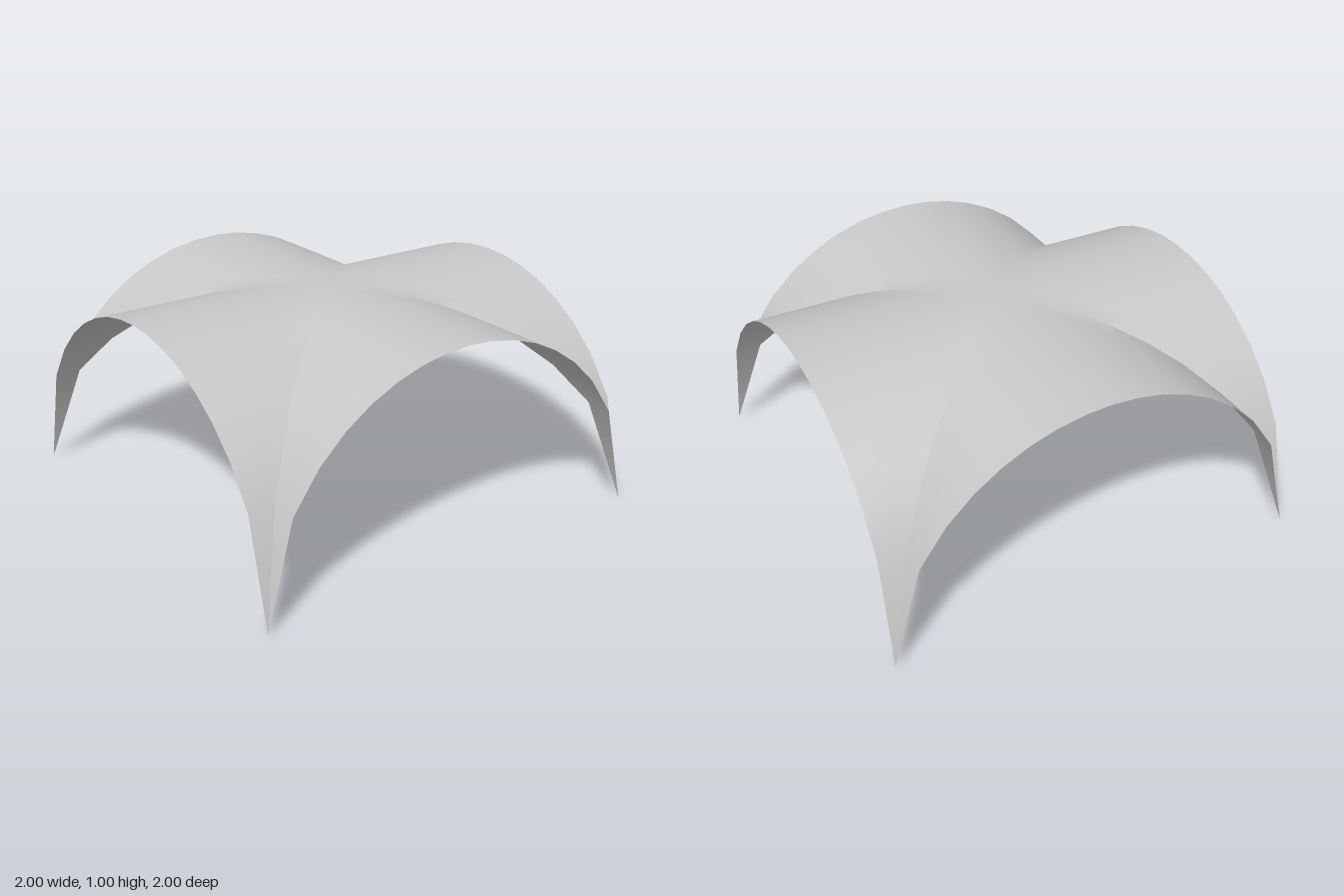
import * as THREE from 'three';
import { toCreasedNormals } from 'three/addons/utils/BufferGeometryUtils.js';

const SEGMENTS = 16; // facets across each arch

// Two crossing half-barrels: each web follows the nearer ridge line.
function vaultHeight(x, z) {
  const d = Math.min(Math.abs(x), Math.abs(z));
  return Math.sqrt(Math.max(0, 1 - d * d));
}

function createVaultGeometry() {
  const n = SEGMENTS, positions = [], indices = [];
  for (let j = 0; j <= n; j++) {
    for (let i = 0; i <= n; i++) {
      const x = (2 * i) / n - 1, z = (2 * j) / n - 1;
      positions.push(x, vaultHeight(x, z), z);
    }
  }
  // Split each cell along the groin direction of its quadrant
  for (let j = 0; j < n; j++) {
    for (let i = 0; i < n; i++) {
      const a = j * (n + 1) + i, b = a + 1, c = a + n + 1, d = c + 1;
      if ((i < n / 2) === (j < n / 2)) indices.push(a, c, d, a, d, b);
      else indices.push(a, c, b, b, c, d);
    }
  }
  const geometry = new THREE.BufferGeometry();
  geometry.setAttribute('position', new THREE.Float32BufferAttribute(positions, 3));
  geometry.setIndex(indices);
  // Smooth webs and crown, sharp groins lower down
  return toCreasedNormals(geometry, Math.PI / 6);
}

export function createModel() {
  const stone = new THREE.MeshStandardMaterial({ color: 0xc8c8c8, side: THREE.DoubleSide });
  stone.name = 'light grey stone';

  const group = new THREE.Group();
  group.name = 'groinVault';
  const shell = new THREE.Mesh(createVaultGeometry(), stone);
  shell.name = 'vaultShell';
  group.add(shell);
  return group;
}
